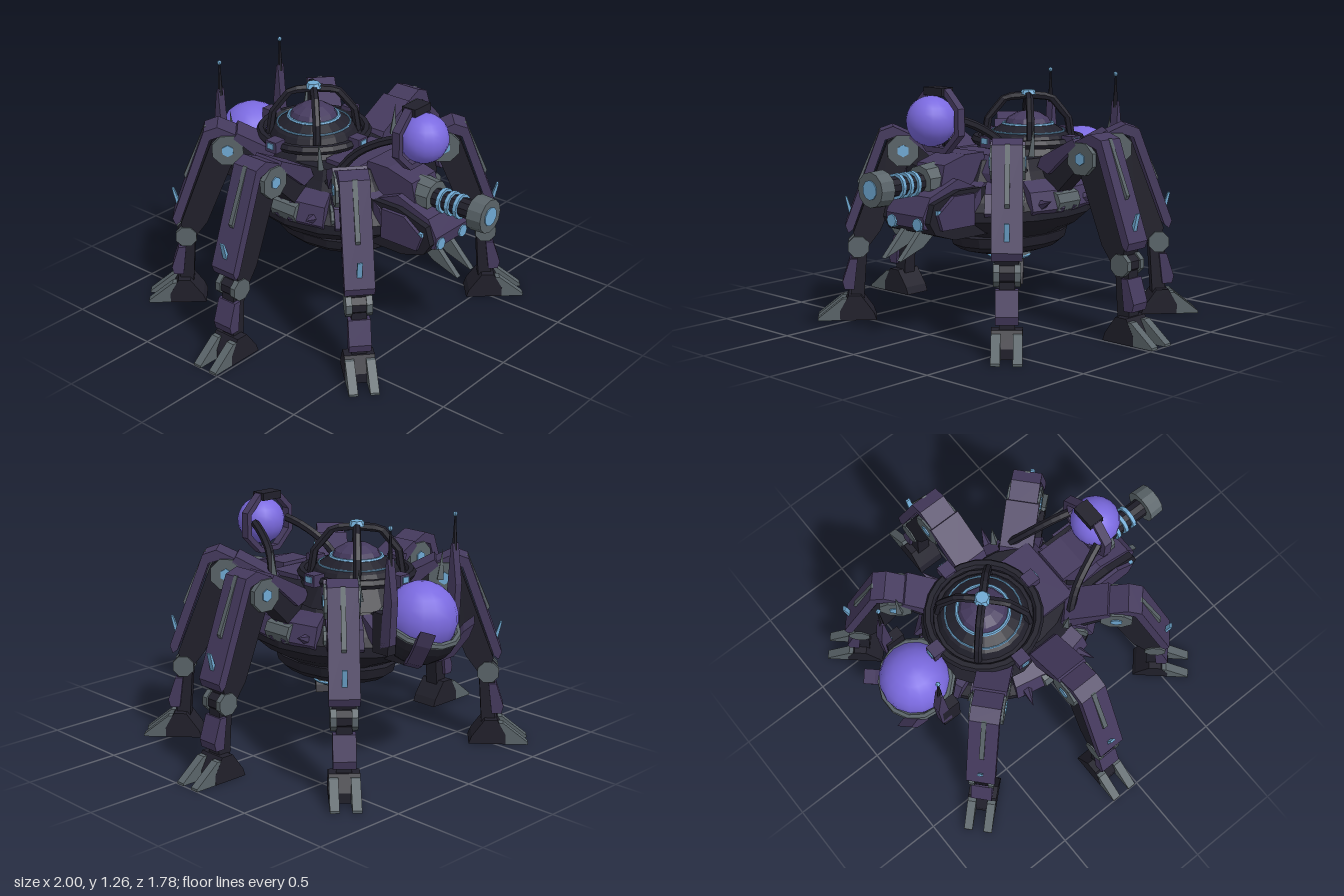
import * as THREE from 'three';

const paint = (name, color, flatShading = true) => {
  const m = new THREE.MeshStandardMaterial({ color, flatShading });
  m.name = name;
  return m;
};

export function createModel() {
  const dark = paint('dark hull', 0x21202b);
  const armour = paint('purple armour', 0x453a5e);
  const grey = paint('grey metal', 0x5a6469);
  const blue = paint('blue light', 0x70aad4);
  const violet = paint('violet orb', 0x7b6ae0, false);

  const model = new THREE.Group();
  const add = (parent, name, geo, mat, x = 0, y = 0, z = 0, rx = 0, ry = 0, rz = 0) => {
    const m = new THREE.Mesh(geo, mat);
    m.name = name;
    m.position.set(x, y, z);
    m.rotation.set(rx, ry, rz);
    parent.add(m);
    return m;
  };
  const group = (name, x = 0, y = 0, z = 0, rx = 0, ry = 0, rz = 0) => {
    const g = new THREE.Group();
    g.name = name;
    g.position.set(x, y, z);
    g.rotation.set(rx, ry, rz);
    model.add(g);
    return g;
  };
  const box = (w, h, d) => new THREE.BoxGeometry(w, h, d);
  const cyl = (rt, rb, h, n = 8) => new THREE.CylinderGeometry(rt, rb, h, n);
  const ball = (r, n = 14) => new THREE.SphereGeometry(r, n, Math.round(n * 0.7));
  const ring = (r, t, n = 24) => new THREE.TorusGeometry(r, t, 6, n);
  const lathe = (pts, n) => new THREE.LatheGeometry(pts.map(p => new THREE.Vector2(...p)), n);
  const tube = (pts, r, n = 10) => new THREE.TubeGeometry(
    new THREE.CatmullRomCurve3(pts.map(p => new THREE.Vector3(...p))), n, r, 6);
  const polygon = pts => new THREE.Shape(pts.map(p => new THREE.Vector2(...p)));
  const extrude = (shape, width) => new THREE.ExtrudeGeometry(
    shape, { depth: width, bevelEnabled: false }).translate(0, 0, -width / 2);
  // Side profile in x/y, given a width centred on z
  const slab = (pts, width) => extrude(polygon(pts), width);
  const C = -0.087, H = Math.PI / 2;

  // Hull: oval stack of faceted rings
  const hull = group('hull', 0, 0, C);
  hull.scale.set(0.8, 1, 1);
  add(hull, 'lowerPan', lathe([[0, 0.345], [0.2, 0.355], [0.3, 0.38], [0.345, 0.41], [0.36, 0.46], [0.3, 0.475]], 16), dark).scale.x = 0.9;
  add(hull, 'lowerHull', lathe([[0.31, 0.46], [0.42, 0.51], [0.5, 0.57], [0.5, 0.62], [0.45, 0.66], [0.36, 0.8], [0.33, 0.86], [0, 0.87]], 16), dark);
  for (let i = 0; i < 12; i++) {
    const pivot = new THREE.Group();
    pivot.name = 'hullPanel';
    pivot.rotation.y = (i + 0.5) * Math.PI / 6;
    add(pivot, 'slopedPanel', slab([[0.49, 0.6], [0.51, 0.62], [0.47, 0.71], [0.38, 0.76], [0.36, 0.72]], 0.2), armour);
    hull.add(pivot);
  }
  add(model, 'bellyLens', lathe([[0, 0.295], [0.08, 0.3], [0.115, 0.33], [0.115, 0.36]], 12), grey, 0, 0, C);
  add(model, 'bellyLight', ring(0.108, 0.009), blue, 0, 0.325, C, H);

  // Cockpit dome under a cage
  const dome = group('cockpit', 0, 0, -0.235);
  add(dome, 'collar', cyl(0.25, 0.32, 0.12, 16), dark, 0, 0.85, 0);
  add(dome, 'guardRing', ring(0.275, 0.025), dark, 0, 0.92, 0, H);
  add(dome, 'domeBase', lathe([[0.24, 0.89], [0.21, 0.95], [0.135, 1.0], [0, 1.0]], 20), dark);
  add(dome, 'domeCap', lathe([[0.13, 0.99], [0.11, 1.03], [0.06, 1.06], [0, 1.07]], 12), armour);
  add(dome, 'innerLight', ring(0.13, 0.009), blue, 0, 1.0, 0, H);
  add(dome, 'outerLight', ring(0.19, 0.005), blue, 0, 0.965, 0, H);
  for (let i = 0; i < 4; i++) {
    const a = Math.PI / 4 + i * H, c = Math.cos(a), s = Math.sin(a);
    const path = new THREE.CurvePath();
    const p = [[0.23, 0.9], [0.21, 1.03], [0.12, 1.14], [0, 1.15]].map(q => new THREE.Vector3(q[0] * c, q[1], q[0] * s));
    for (let k = 0; k < 3; k++) path.add(new THREE.LineCurve3(p[k], p[k + 1]));
    add(dome, 'cageBar', new THREE.TubeGeometry(path, 9, 0.021, 6), dark);
    const b = i * H;
    add(dome, 'ringBlock', box(0.07, 0.06, 0.07), armour, 0.295 * Math.cos(b), 0.93, 0.295 * Math.sin(b), 0, -b);
    add(dome, 'ringLight', box(0.008, 0.03, 0.04), blue, 0.332 * Math.cos(b), 0.935, 0.332 * Math.sin(b), 0, -b);
  }
  add(dome, 'cageCap', cyl(0.032, 0.045, 0.025), blue, 0, 1.165, 0);

  // Legs: local x points outward
  const buildLeg = (name, angle) => {
    const g = group(name, 0, 0, C, 0, angle);
    add(g, 'hipArm', slab([[0.24, 0.66], [0.3, 0.87], [0.52, 0.95], [0.6, 0.86], [0.48, 0.8], [0.36, 0.68]], 0.11), dark);
    add(g, 'hipArmour', slab([[0.27, 0.82], [0.29, 0.87], [0.5, 0.98], [0.52, 0.95], [0.34, 0.79]], 0.17), armour);
    add(g, 'hipSocket', cyl(0.06, 0.06, 0.16), grey, 0.36, 0.65, 0, H);
    add(g, 'thigh', slab([[0.49, 0.9], [0.56, 0.97], [0.63, 0.93], [0.81, 0.46], [0.79, 0.4], [0.73, 0.39], [0.67, 0.47]], 0.115), dark);
    add(g, 'thighArmour', slab([[0.47, 0.95], [0.6, 1.01], [0.67, 0.985], [0.85, 0.5], [0.835, 0.46], [0.81, 0.48], [0.64, 0.94], [0.58, 0.96], [0.48, 0.92]], 0.148), armour);
    add(g, 'armourStrip', slab([[0.645, 0.985], [0.67, 0.99], [0.785, 0.72], [0.765, 0.68]], 0.024), grey);
    add(g, 'armourFin', slab([[0.81, 0.55], [0.83, 0.55], [0.85, 0.64], [0.84, 0.64]], 0.025), blue);
    for (const s of [1, -1]) {
      add(g, 'hipDisc', cyl(0.085, 0.085, 0.03), grey, 0.55, 0.885, s * 0.07, H, Math.PI / 8);
      add(g, 'hipLight', cyl(0.032, 0.032, 0.008, 6), blue, 0.55, 0.885, s * 0.087, H);
      add(g, 'kneeDisc', cyl(0.058, 0.058, 0.03), grey, 0.785, 0.385, s * 0.05, H, Math.PI / 8);
      add(g, 'toeClaw', slab([[0.83, 0.115], [0.87, 0.115], [1.0, 0.012], [1.0, 0], [0.83, 0]], 0.045), grey, 0, 0, s * 0.052);
    }
    add(g, 'knee', cyl(0.05, 0.05, 0.08), dark, 0.785, 0.385, 0, H, Math.PI / 8);
    add(g, 'shin', slab([[0.74, 0.38], [0.82, 0.38], [0.83, 0.1], [0.76, 0.1]], 0.075), dark);
    add(g, 'shinArmour', slab([[0.79, 0.32], [0.83, 0.32], [0.87, 0.2], [0.86, 0.16], [0.81, 0.16]], 0.11), armour);
    add(g, 'foot', slab([[0.695, 0], [0.71, 0.04], [0.775, 0.13], [0.84, 0.13], [0.885, 0.05], [0.885, 0]], 0.15), dark);
  };
  const A = 48 * Math.PI / 180;
  [['leftMiddleLeg', 0], ['leftFrontLeg', -A], ['leftRearLeg', A], ['rightMiddleLeg', Math.PI],
    ['rightFrontLeg', Math.PI + A], ['rightRearLeg', Math.PI - A]].forEach(l => buildLeg(...l));

  // Head: local x points forward
  const head = group('head', 0, 0, 0, 0, -H);
  add(head, 'skull', slab([[0.25, 0.5], [0.48, 0.5], [0.61, 0.54], [0.65, 0.6], [0.62, 0.69], [0.45, 0.74], [0.25, 0.74]], 0.33), dark);
  add(head, 'browArmour', slab([[0.25, 0.72], [0.42, 0.79], [0.61, 0.72], [0.66, 0.63], [0.655, 0.57], [0.6, 0.56]], 0.26), armour);
  add(head, 'gunMount', slab([[0.18, 0.6], [0.2, 0.9], [0.33, 0.9], [0.48, 0.86], [0.52, 0.68]], 0.19), armour);
  add(head, 'frontDeck', slab([[0, 0.84], [0, 0.885], [0.19, 0.885], [0.24, 0.8], [0.24, 0.74]], 0.36), armour);
  for (const s of [1, -1]) {
    add(head, 'cheek', slab([[0.36, 0.56], [0.36, 0.72], [0.5, 0.72], [0.61, 0.64], [0.58, 0.56]], 0.025), armour, 0, 0, s * 0.172);
    add(head, 'cheekLight', box(0.02, 0.02, 0.02), blue, 0.6, 0.65, s * 0.172);
    add(head, 'eye', cyl(0.032, 0.036, 0.02), blue, 0.655, 0.59, s * 0.09, 0, 0, -H);
    add(head, 'mandible', slab([[0.52, 0.53], [0.62, 0.55], [0.75, 0.42], [0.6, 0.47]], 0.03), grey, 0, 0, s * 0.055);
  }

  // Cannon
  const gun = group('cannon', 0, 0.775, 0, H);
  add(gun, 'breech', cyl(0.085, 0.095, 0.1, 10), grey, 0, 0.51, 0);
  add(gun, 'barrel', cyl(0.05, 0.05, 0.3, 10), dark, 0, 0.67, 0);
  for (const z of [0.61, 0.66, 0.71]) add(gun, 'coil', cyl(0.064, 0.064, 0.02, 12), blue, 0, z, 0);
  add(gun, 'muzzle', cyl(0.086, 0.09, 0.08, 12), grey, 0, 0.84, 0);
  add(gun, 'muzzleLight', cyl(0.048, 0.048, 0.008, 10), blue, 0, 0.881, 0);

  // Raised front orb in a thin octagonal frame
  add(model, 'frontOrb', ball(0.125, 18), violet, 0, 1.07, 0.475);
  const octagon = r => Array.from({ length: 8 }, (_, i) => {
    const a = (i + 0.5) * Math.PI / 4;
    return [r * Math.cos(a), r * Math.sin(a)];
  });
  const frame = polygon(octagon(0.172));
  frame.holes.push(polygon(octagon(0.142)));
  add(model, 'orbFrame', extrude(frame, 0.045), armour, 0, 1.07, 0.425);
  add(model, 'frameCrest', box(0.125, 0.04, 0.08), dark, 0, 1.213, 0.425);
  for (const s of [1, -1]) {
    add(model, 'orbArm', tube([[s * 0.11, 1.08, 0.4], [s * 0.14, 1.05, 0.32], [s * 0.19, 0.97, 0.2], [s * 0.27, 0.8, 0.09]], 0.022), dark);
  }

  // Rear orb cradled in a tilted bowl
  add(model, 'rearMount', box(0.22, 0.22, 0.24), dark, 0, 0.66, -0.55);
  add(model, 'rearOrb', ball(0.18, 16), violet, 0, 0.77, -0.675);
  const bowl = group('rearCradle', 0, 0.74, -0.67, -0.4);
  add(bowl, 'bowl', new THREE.SphereGeometry(0.205, 14, 6, 0, Math.PI * 2, H, H), dark);
  add(bowl, 'bowlRim', ring(0.192, 0.018, 14), grey, 0, 0, 0, H);
  for (const a of [0.8, Math.PI - 0.8]) {
    const arm = new THREE.Group();
    arm.name = 'cradleProng';
    arm.rotation.y = a;
    add(arm, 'prong', slab([[0.14, -0.17], [0.205, -0.11], [0.24, 0.02], [0.24, 0.1], [0.205, 0.04], [0.17, -0.08]], 0.075), armour);
    bowl.add(arm);
  }

  // Antennas and spikes on both sides
  for (const s of [1, -1]) {
    add(model, 'antennaBase', box(0.055, 0.2, 0.1), dark, s * 0.225, 0.73, -0.64);
    add(model, 'antennaLight', box(0.025, 0.008, 0.025), blue, s * 0.225, 0.833, -0.66);
    const blade = slab([[-0.64, 0.66], [-0.7, 0.68], [-0.71, 0.9], [-0.683, 1.1], [-0.672, 1.1]], 0.045);
    add(model, 'antennaBlade', blade, armour, s * 0.23, 0, 0, 0, -H);
    add(model, 'antennaRod', cyl(0.004, 0.014, 0.18, 6), dark, s * 0.23, 1.155, -0.677);
    add(model, 'antennaTip', ball(0.012, 8), blue, s * 0.23, 1.245, -0.676);
    for (const z of [0.06, -0.54]) {
      add(model, 'uprightSpike', cyl(0, 0.022, 0.16, 4), grey, s * 0.295, 0.96, z, 0, 0, -s * 0.1);
    }
    for (const z of [0.09, -0.27]) {
      add(model, 'sideSpike', cyl(0, 0.03, 0.12, 5), armour, s * 0.41, 0.66, z, 0, z > C ? -s * 0.35 : s * 0.35, -s * 1.25);
    }
  }
  return model;
}
